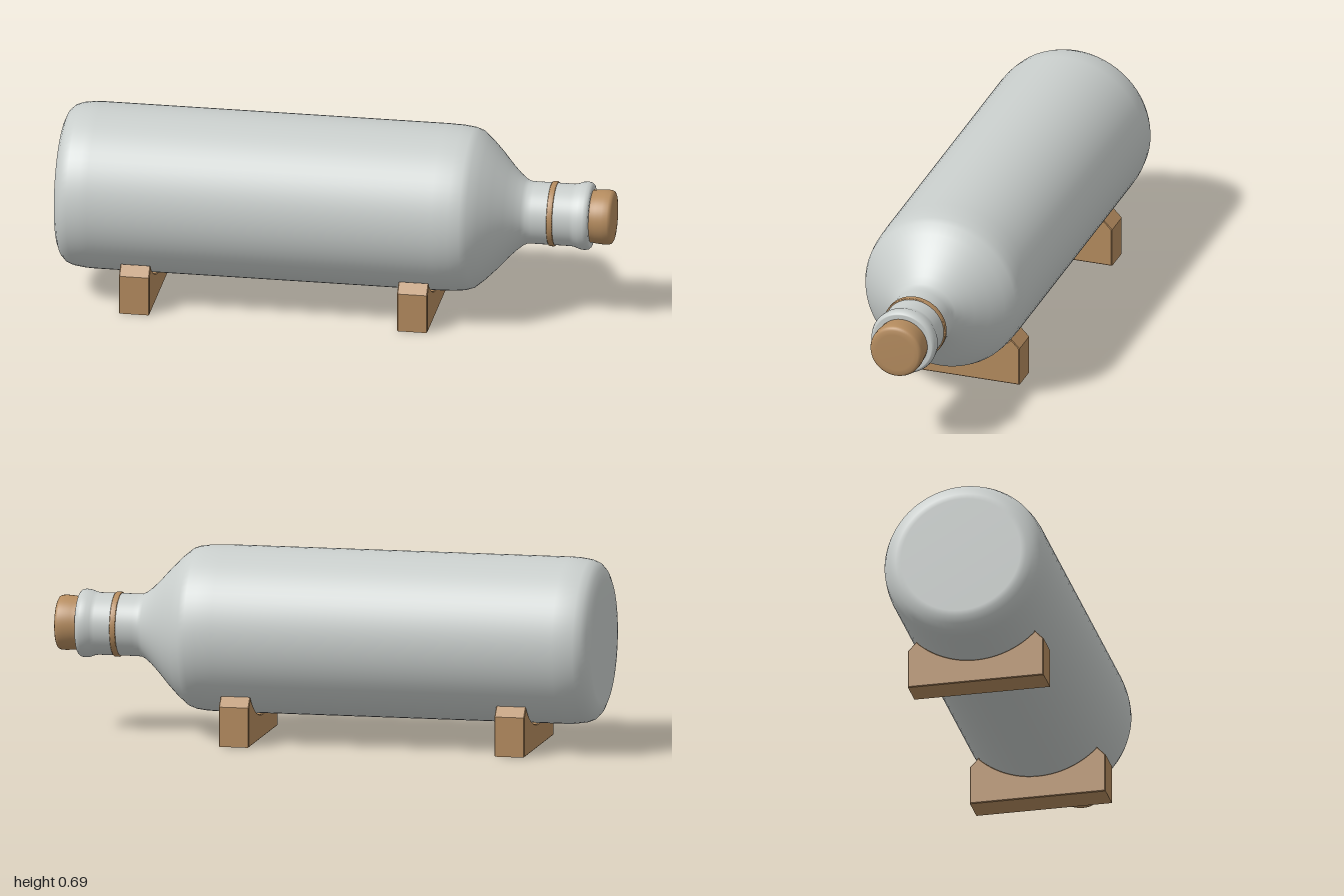
import * as THREE from 'three';

const AXIS_Y = 0.39;

// Surface of revolution along +x; points are [x, radius]
function turned(name, points, material) {
  const geometry = new THREE.LatheGeometry(points.map(([x, r]) => new THREE.Vector2(r, x)), 64);
  geometry.rotateZ(-Math.PI / 2);
  const mesh = new THREE.Mesh(geometry, material);
  mesh.name = name;
  mesh.position.y = AXIS_Y;
  return mesh;
}

// Cradle block with a round saddle and chamfered upper corners
function cradle(name, x, material) {
  const bevel = 0.003, width = 0.11, radius = 0.305 + bevel;
  const half = 0.249 - bevel, tip = 0.215;
  const angle = Math.acos(tip / radius);
  const shape = new THREE.Shape();
  shape.moveTo(-half, bevel);
  shape.lineTo(half, bevel);
  shape.lineTo(half, 0.143);
  shape.lineTo(tip + 0.002, 0.177 - bevel);
  shape.absarc(0, AXIS_Y, radius, -angle, -Math.PI + angle, true);
  shape.lineTo(-tip - 0.002, 0.177 - bevel);
  shape.lineTo(-half, 0.143);
  shape.closePath();
  const geometry = new THREE.ExtrudeGeometry(shape, {
    depth: width - 2 * bevel, bevelSize: bevel, bevelThickness: bevel,
    bevelSegments: 1, curveSegments: 24,
  });
  geometry.translate(0, 0, bevel - width / 2);
  geometry.rotateY(Math.PI / 2);
  const mesh = new THREE.Mesh(geometry, material);
  mesh.name = name;
  mesh.position.x = x;
  return mesh;
}

export function createModel() {
  const glass = new THREE.MeshStandardMaterial({ color: 0xc9cecc });
  glass.name = 'pale grey glass';
  const wood = new THREE.MeshStandardMaterial({ color: 0xb58c5f });
  wood.name = 'tan wood';

  const model = new THREE.Group();
  model.name = 'bottleOnCradles';

  // Bottle: base, body, shoulder, neck and lip
  model.add(turned('bottle', [
    [-1, 0], [-1, 0.22], [-0.998, 0.24], [-0.988, 0.264], [-0.97, 0.283], [-0.945, 0.293],
    [-0.9, 0.299], [-0.87, 0.3], [0.38, 0.3], [0.44, 0.298], [0.48, 0.293], [0.505, 0.284],
    [0.54, 0.255], [0.58, 0.215], [0.62, 0.17], [0.65, 0.14], [0.675, 0.12], [0.69, 0.113],
    [0.71, 0.112], [0.85, 0.112], [0.865, 0.115], [0.88, 0.121], [0.9, 0.123], [0.912, 0.12],
    [0.918, 0.114], [0.919, 0.11], [0.919, 0.09],
  ], glass));

  // Thin band round the neck
  model.add(turned('neckBand', [
    [0.769, 0.108], [0.769, 0.115], [0.772, 0.117], [0.787, 0.117], [0.79, 0.115], [0.79, 0.108],
  ], wood));

  // Stopper
  model.add(turned('cork', [
    [0.9, 0], [0.9, 0.095], [0.925, 0.095], [0.94, 0.097], [0.965, 0.099], [0.985, 0.098],
    [0.994, 0.094], [0.998, 0.086], [1, 0.07], [1, 0],
  ], wood));

  // Two cradles
  model.add(cradle('rearCradle', -0.705, wood));
  model.add(cradle('neckCradle', 0.305, wood));
  return model;
}
